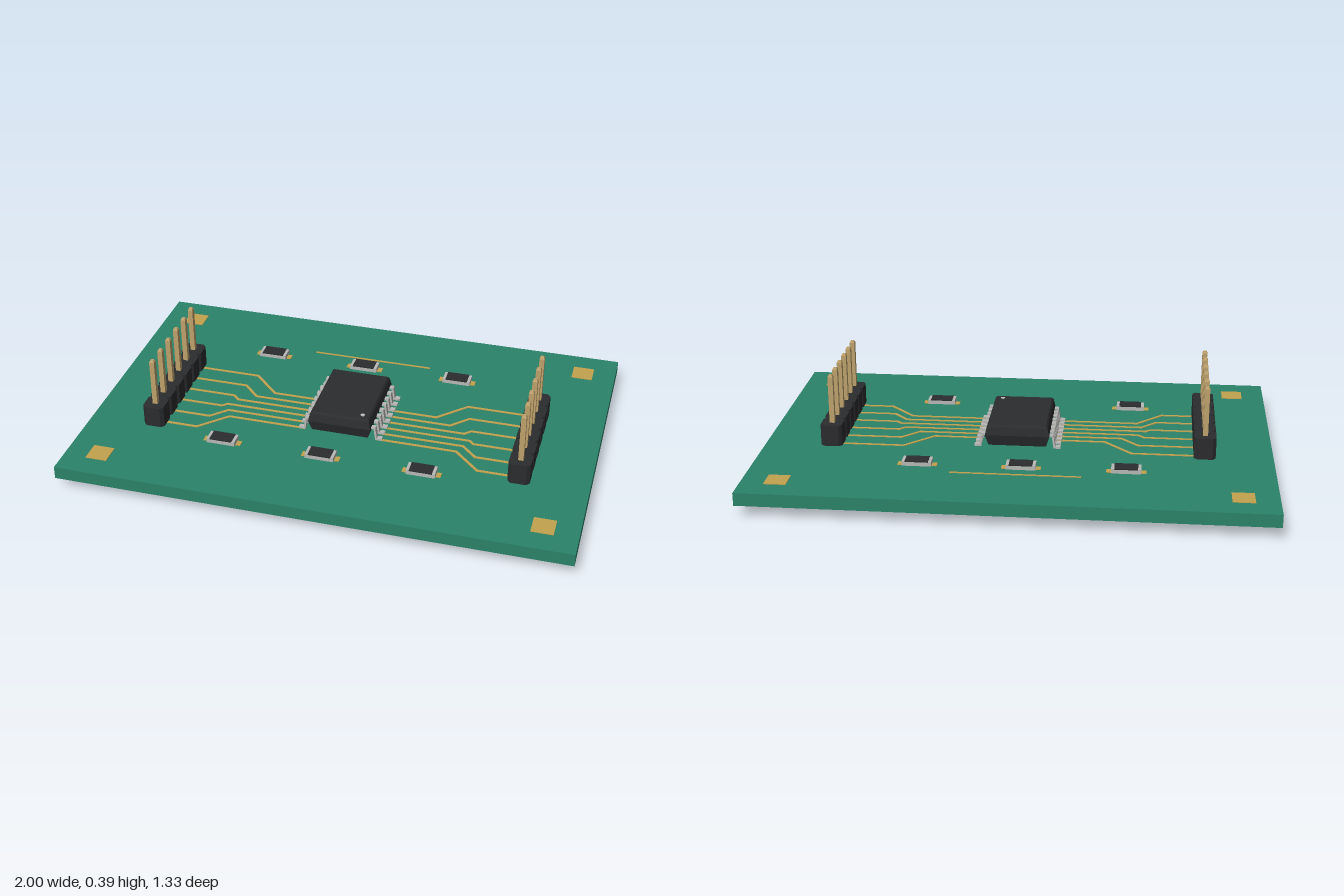
import * as THREE from 'three';

const material = (name, color) => {
  const m = new THREE.MeshStandardMaterial({ color });
  m.name = name;
  return m;
};

// Stacked rectangles: each section is [y, width, depth]
function loft(sections) {
  const n = sections.length - 1;
  const geo = new THREE.BoxGeometry(1, 1, 1, 1, n, 1);
  const p = geo.attributes.position;
  for (let i = 0; i < p.count; i++) {
    const [y, w, d] = sections[Math.round((p.getY(i) + 0.5) * n)];
    p.setXYZ(i, p.getX(i) * w, y, p.getZ(i) * d);
  }
  const flat = geo.toNonIndexed();
  flat.computeVertexNormals();
  return flat;
}

// Flat outline extruded from its own z = 0
function extrude(points, depth) {
  const shape = new THREE.Shape(points.map(([x, y]) => new THREE.Vector2(x, y)));
  return new THREE.ExtrudeGeometry(shape, { depth, bevelEnabled: false });
}

export function createModel() {
  const model = new THREE.Group();
  model.name = 'circuitBoard';
  const green = material('board green', 0x2b8369);
  const black = material('plastic black', 0x2b2c2e);
  const gold = material('trace gold', 0xc3a24f);
  const brass = material('pin brass', 0xbea26c);
  const silver = material('lead silver', 0xb8b8b6);

  const TOP = 0.098;
  const add = (name, geo, mat, x = 0, y = 0, z = 0, parent = model) => {
    const mesh = new THREE.Mesh(geo, mat);
    mesh.name = name;
    mesh.position.set(x, y, z);
    parent.add(mesh);
    return mesh;
  };

  add('board', new THREE.BoxGeometry(2, 0.051, 1.334), green, 0, 0.0725, 0);

  // Corner pads
  const cornerPad = new THREE.BoxGeometry(0.085, 0.003, 0.085);
  for (const x of [-0.866, 0.866])
    for (const z of [-0.535, 0.535]) add('cornerPad', cornerPad, gold, x, TOP + 0.001, z);

  // Straight marking line behind the chip
  add('backLine', new THREE.BoxGeometry(0.502, 0.003, 0.008), gold, -0.016, TOP + 0.001, -0.405);

  // Pin headers: six chamfered blocks each with a through pin
  const h = 0.0425, c = 0.013;
  const block = extrude([[-h + c, -h], [h - c, -h], [h, -h + c], [h, h - c],
    [h - c, h], [-h + c, h], [-h, h - c], [-h, -h + c]], 0.086);
  block.rotateX(-Math.PI / 2);
  const pin = loft([[0, 0.012, 0.012], [0.008, 0.02, 0.02], [0.379, 0.02, 0.02], [0.387, 0.012, 0.012]]);
  for (const side of [-1, 1]) {
    const header = new THREE.Group();
    header.name = side > 0 ? 'leftHeader' : 'rightHeader';
    header.position.set(side * 0.733, 0, 0.0565);
    model.add(header);
    for (let i = 0; i < 6; i++) {
      const z = (i - 2.5) * 0.085;
      add('headerBlock', block, black, 0, 0.102, z, header);
      add('headerPin', pin, brass, 0, 0, z, header);
    }
  }

  // Chip body, with sides sloping away from the parting line
  const chipZ = 0.0155;
  add('chipBody', loft([[0.11, 0.228, 0.322], [0.155, 0.254, 0.348],
    [0.187, 0.24, 0.334], [0.196, 0.226, 0.32]]), black, 0, 0, chipZ);
  add('chipDot', new THREE.CylinderGeometry(0.009, 0.009, 0.003, 12), silver, 0.087, 0.1965, 0.152);

  // Bent leads, eight on each side
  const lead = extrude([[0.11, 0.15], [0.136, 0.15], [0.143, 0.102], [0.17, 0.102],
    [0.17, 0.11], [0.15, 0.11], [0.143, 0.158], [0.11, 0.158]], 0.02);
  lead.translate(0, 0, -0.01);
  const leadZ = (i) => 0.0145 + (i - 3.5) * 0.0423;
  for (let i = 0; i < 8; i++) {
    add('leftLead', lead, silver, 0, 0, leadZ(i));
    add('rightLead', lead, silver, 0, 0, leadZ(i)).rotation.y = Math.PI;
  }

  // Traces: straight from the header, a diagonal jog, then straight to a lead
  const traceWidth = 0.011;
  for (const side of [-1, 1]) {
    for (let i = 0; i < 6; i++) {
      const z0 = 0.0535 + (i - 2.5) * 0.0845, z1 = leadZ(i + 2);
      const bend = 0.45 + i * 0.0235;
      const path = [[0.7, z0], [bend, z0], [bend - Math.abs(z1 - z0), z1], [0.15, z1]];
      for (let k = 0; k < 3; k++) {
        const [ax, az] = path[k], [bx, bz] = path[k + 1];
        const dx = (bx - ax) * side, dz = bz - az, len = Math.hypot(dx, dz);
        const geo = new THREE.BoxGeometry(len + 0.004, 0.003, traceWidth);
        add('trace', geo, gold, side * (ax + bx) / 2, TOP + 0.001, (az + bz) / 2)
          .rotation.y = -Math.atan2(dz, dx);
      }
    }
  }

  // Six small resistors: pale base and ends with a dark top plate, on gold pads
  const base = new THREE.BoxGeometry(0.114, 0.018, 0.055);
  const cover = new THREE.BoxGeometry(0.09, 0.004, 0.056);
  const pad = new THREE.BoxGeometry(0.03, 0.003, 0.03);
  for (const x of [-0.434, -0.033, 0.367]) {
    for (const z of [-0.336, 0.332]) {
      const resistor = new THREE.Group();
      resistor.name = 'resistor';
      resistor.position.set(x, 0, z);
      model.add(resistor);
      add('resistorBase', base, silver, 0, 0.11, 0, resistor);
      add('resistorTop', cover, black, 0, 0.119, 0, resistor);
      for (const s of [-1, 1]) add('resistorPad', pad, gold, s * 0.061, TOP + 0.001, 0, resistor);
    }
  }
  return model;
}
